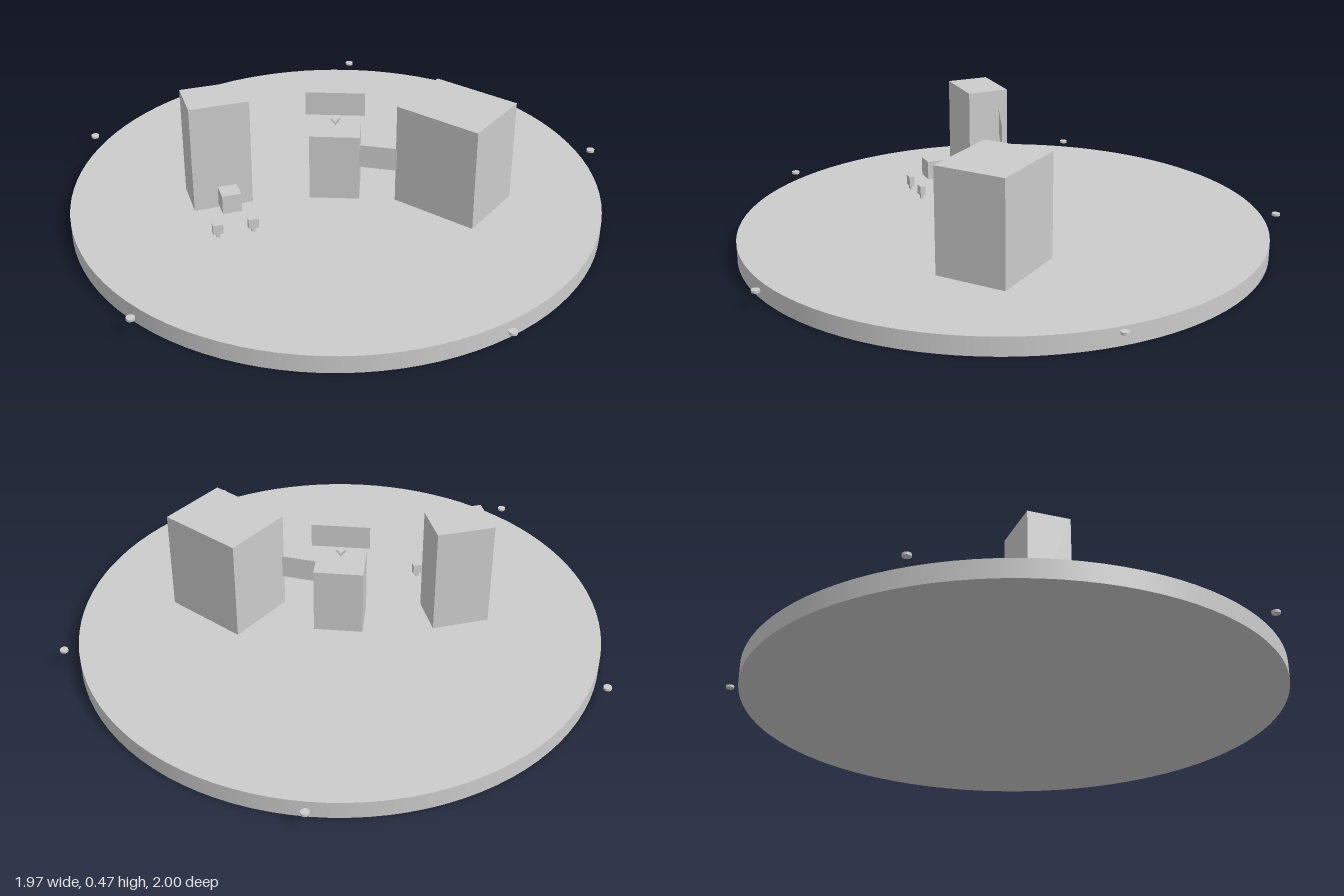
import * as THREE from 'three';

const material = new THREE.MeshStandardMaterial({ color: 0xcccccc, side: THREE.DoubleSide });
const FLOOR = 0.066;

function add(parent, name, geometry, x, y, z, turn = 0) {
  const mesh = new THREE.Mesh(geometry, material);
  mesh.name = name;
  mesh.position.set(x, y, z);
  mesh.rotation.y = turn;
  parent.add(mesh);
  return mesh;
}

// Box given by its bottom and top heights
function block(parent, name, w, d, y0, y1, x, z, turn = 0) {
  return add(parent, name, new THREE.BoxGeometry(w, y1 - y0, d), x, (y0 + y1) / 2, z, turn);
}

export function createModel() {
  const model = new THREE.Group();
  model.name = 'plaza';

  // Round base
  add(model, 'base', new THREE.CylinderGeometry(0.965, 0.965, FLOOR, 96), -0.003, FLOOR / 2, 0.03);

  // Five small discs just outside the rim
  for (let i = 0; i < 5; i++) {
    const a = -Math.PI / 2 + 0.006 + (i * Math.PI * 2) / 5;
    add(model, 'rimDisc', new THREE.CylinderGeometry(0.015, 0.015, 0.009, 16),
      -0.004 + 1.018 * Math.cos(a), 0.072, 0.03 + 1.018 * Math.sin(a));
  }

  // Tall building with a floating box and two small stands before it
  const tower = new THREE.Group();
  tower.name = 'tallBuildingGroup';
  tower.position.set(-0.426, 0, 0.106);
  tower.rotation.y = 0.353;
  model.add(tower);
  block(tower, 'tallBuilding', 0.214, 0.157, FLOOR, 0.475, 0, 0);
  block(tower, 'floatingBox', 0.068, 0.068, 0.13, 0.2, 0, 0.191);
  for (const side of [-1, 1]) {
    block(tower, 'stand', 0.036, 0.02, 0.082, 0.119, side * 0.063, 0.264);
    block(tower, 'standFoot', 0.014, 0.01, FLOOR, 0.082, side * 0.063, 0.264);
  }

  // Middle building, the sign above it and a small chevron between them
  block(model, 'middleBuilding', 0.18, 0.159, FLOOR, 0.32, -0.005, 0.026);
  add(model, 'sign', new THREE.PlaneGeometry(0.211, 0.089), -0.005, 0.418, 0.04);
  const chevron = new THREE.Shape([[-0.021, 0.014], [0, -0.014], [0.021, 0.014],
    [0.012, 0.014], [0, -0.003], [-0.012, 0.014]].map(([x, y]) => new THREE.Vector2(x, y)));
  add(model, 'chevron', new THREE.ShapeGeometry(chevron), -0.005, 0.346, 0.04);

  // Thin panel joining the middle and wide buildings
  block(model, 'linkPanel', 0.21, 0.011, 0.19, 0.279, 0.15, 0.091, -0.16);

  // Wide building
  block(model, 'wideBuilding', 0.325, 0.266, FLOOR, 0.449, 0.423, 0.082, -0.575);

  return model;
}
